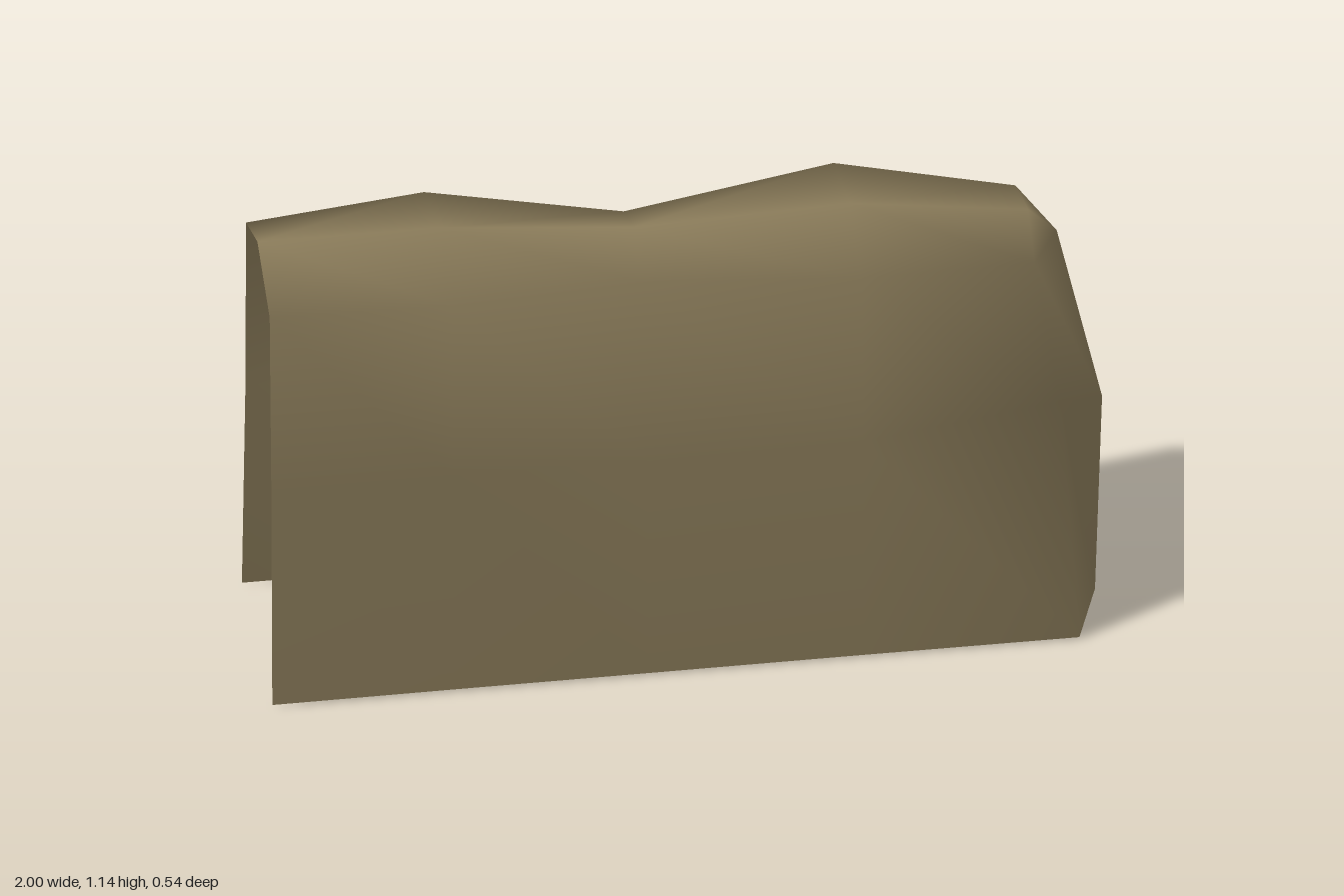
import * as THREE from 'three';

// One cross-section: front base, front middle, front shoulder, ridge, back shoulder, back middle, back base.
function section(x, s) {
  const { front, back, shoulder, ridge, middleX = x, baseX = x } = s;
  return [
    [baseX, 0.005, front[0]], [middleX, 0.6, front[1]], [x, shoulder, front[2]],
    [x, ridge, 0.015],
    [x, shoulder, back[2]], [middleX, 0.6, back[1]], [baseX, 0.005, back[0]],
  ];
}

export function createModel() {
  const group = new THREE.Group();
  const khaki = new THREE.MeshStandardMaterial({ color: 0x8c7d5b, side: THREE.DoubleSide });
  khaki.name = 'khaki';

  // Sections from the open end to the closed end
  const sections = [
    section(-1, { front: [0.27, 0.253, 0.225], back: [-0.25, -0.19, -0.18], shoulder: 1.065, ridge: 1.14 }),
    section(-0.57, { front: [0.263, 0.252, 0.233], back: [-0.255, -0.21, -0.25], shoulder: 1.065, ridge: 1.14 }),
    section(-0.11, { front: [0.257, 0.25, 0.135], back: [-0.26, -0.212, -0.165], shoulder: 1.025, ridge: 1.1 }),
    section(0.4, { front: [0.25, 0.242, 0.22], back: [-0.265, -0.213, -0.27], shoulder: 1.045, ridge: 1.12 }),
    section(0.82, { front: [0.245, 0.14, 0.13], back: [-0.27, -0.215, -0.2], shoulder: 0.99, ridge: 1.065,
      middleX: 0.88, baseX: 0.91 }),
  ];
  // Bulging centre line of the closed end, base to top
  const nose = [[0.975, 0, 0.04], [1, 0.5, -0.02], [0.89, 0.99, 0]];
  const points = [...sections.flat(), ...nose];
  const index = [];

  // Long sides and sloping top, with the diagonals mirrored front to back
  for (let i = 0; i < sections.length - 1; i++) {
    for (let j = 0; j < 6; j++) {
      const a = i * 7 + j, b = a + 7;
      if (j < 3) index.push(a, b, a + 1, b, b + 1, a + 1);
      else index.push(a, b, b + 1, a, b + 1, a + 1);
    }
  }
  // Closed end: two strips that meet on the nose, and two triangles up to the ridge
  const e = (sections.length - 1) * 7, n = e + 7;
  for (let j = 0; j < 2; j++) {
    index.push(e + j, n + j, e + j + 1, n + j, n + j + 1, e + j + 1);
    index.push(n + j, e + 6 - j, n + j + 1, e + 6 - j, e + 5 - j, n + j + 1);
  }
  index.push(e + 2, n + 2, e + 3, n + 2, e + 4, e + 3);

  const geometry = new THREE.BufferGeometry();
  geometry.setAttribute('position', new THREE.Float32BufferAttribute(points.flat(), 3));
  geometry.setIndex(index);
  geometry.computeVertexNormals();

  const cover = new THREE.Mesh(geometry, khaki);
  cover.name = 'drapedCover';
  group.add(cover);
  return group;
}
